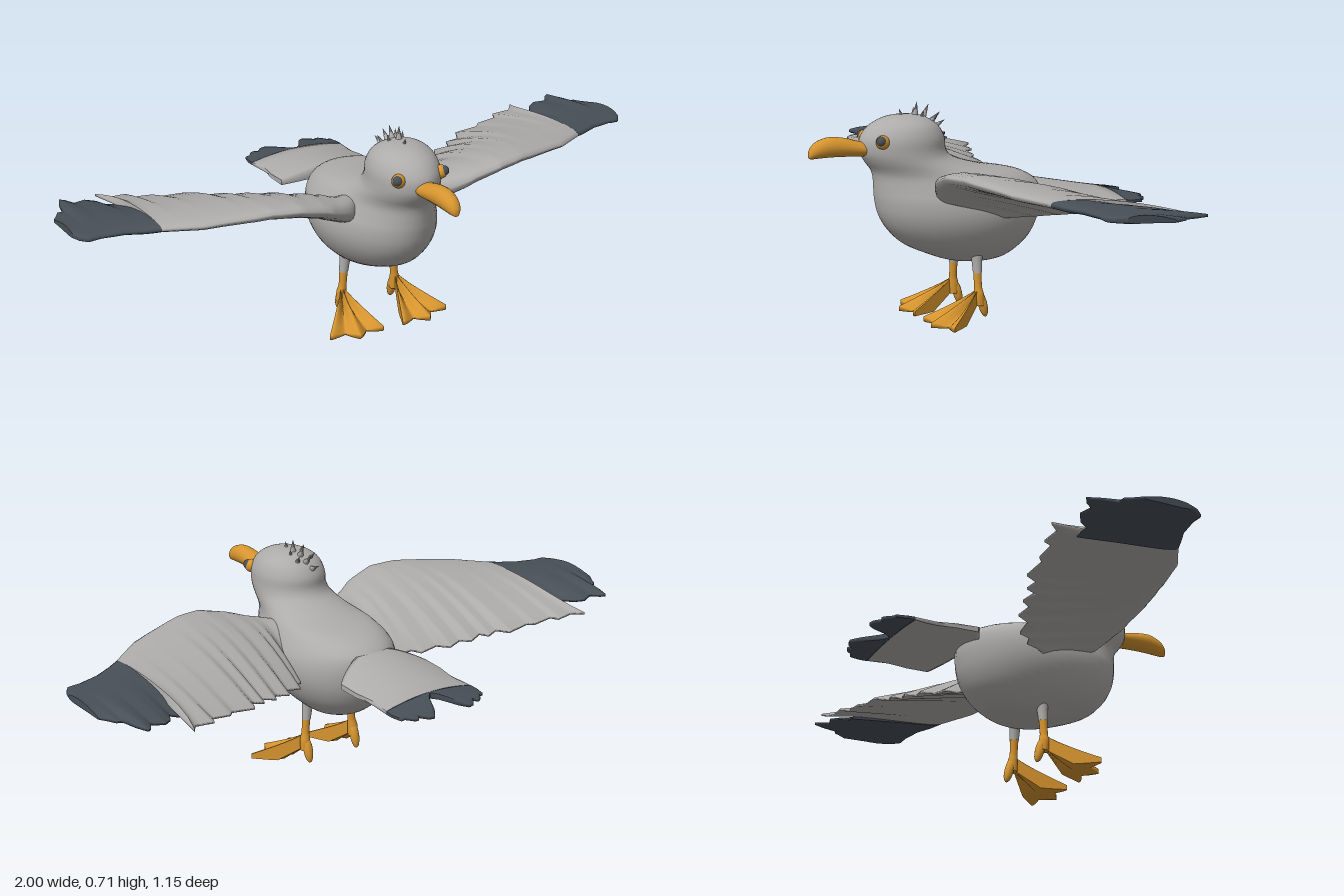
import * as THREE from 'three';

const mat = (name, color) => Object.assign(new THREE.MeshStandardMaterial({ color }), { name });
const lerp = THREE.MathUtils.lerp;

// Piecewise linear lookup in a list of [x, value]
function at(list, x) {
  if (x <= list[0][0]) return list[0][1];
  for (let i = 1; i < list.length; i++) {
    const [x0, v0] = list[i - 1], [x1, v1] = list[i];
    if (x <= x1) return lerp(v0, v1, (x - x0) / (x1 - x0));
  }
  return list[list.length - 1][1];
}

// Catmull-Rom subdivision of rows of numbers
function smoothRows(rows, steps) {
  const out = [], row = i => rows[Math.min(Math.max(i, 0), rows.length - 1)];
  for (let i = 0; i < rows.length - 1; i++) {
    for (let s = 0; s < steps; s++) {
      const t = s / steps;
      out.push(row(i).map((b, k) => {
        const a = row(i - 1)[k], c = row(i + 1)[k], d = row(i + 2)[k];
        return b + 0.5 * t * (c - a + t * (2 * a - 5 * b + 4 * c - d + t * (3 * (b - c) + d - a)));
      }));
    }
  }
  out.push(rows[rows.length - 1]);
  return out;
}

// Closed skin over rings of [x, y, z]; the winding is turned outward by signed volume
function loft(rings) {
  const n = rings[0].length, pos = rings.flat(2), idx = [];
  for (let i = 0; i < rings.length - 1; i++) {
    for (let j = 0; j < n; j++) {
      const a = i * n + j, b = i * n + (j + 1) % n;
      idx.push(a, b, a + n, b, b + n, a + n);
    }
  }
  [rings[0], rings[rings.length - 1]].forEach((ring, end) => {
    const base = pos.length / 3;
    const mid = [0, 1, 2].map(k => ring.reduce((s, p) => s + p[k], 0) / n);
    pos.push(...ring.flat(), ...mid);
    for (let j = 0; j < n; j++) {
      const a = base + j, b = base + (j + 1) % n;
      idx.push(base + n, ...(end ? [a, b] : [b, a]));
    }
  });
  const v = i => new THREE.Vector3().fromArray(pos, i * 3);
  let volume = 0;
  for (let i = 0; i < idx.length; i += 3) volume += v(idx[i]).dot(v(idx[i + 1]).cross(v(idx[i + 2])));
  if (volume < 0) idx.reverse();
  const geo = new THREE.BufferGeometry();
  geo.setAttribute('position', new THREE.Float32BufferAttribute(pos, 3));
  geo.setIndex(idx);
  geo.computeVertexNormals();
  return geo;
}

// Ring from a function of angle
const ring = (n, f) => Array.from({ length: n }, (_, j) => f(j / n * Math.PI * 2));

// Thin section: point(t) gives [x, y, z, halfThickness] from front edge to back edge
function section(n, point) {
  const top = [], bottom = [];
  for (let i = 0; i <= n; i++) {
    const [x, y, z, h] = point((i / n) ** 1.5);
    top.push([x, y + h, z]);
    bottom.unshift([x, Math.max(0, y - h), z]);
  }
  return [...top, ...bottom];
}

const range = (a, b, n) => Array.from({ length: n + 1 }, (_, i) => lerp(a, b, i / n));

// Wing plan and height, by distance from the centre line
const wingLead = [[.1, .17], [.16, .215], [.25, .255], [.35, .27], [.42, .26], [.5, .24], [.65, .19],
  [.76, .118], [.86, .07], [.93, .055], [.97, .055], [.99, .03], [1, 0]];
const wingTrail = [[.1, 0], [.18, -.01], [.2, -.05], [.21, -.09], [.24, -.1], [.25, -.14], [.31, -.145],
  [.33, -.19], [.38, -.18], [.4, -.215], [.45, -.2], [.46, -.235], [.5, -.225], [.52, -.27], [.6, -.265],
  [.62, -.285], [.69, -.285], [.7, -.315], [.74, -.31], [.76, -.345]];
const tipTrail = [[.76, -.24], [.8, -.23], [.82, -.265], [.85, -.285], [.89, -.27], [.91, -.3], [.925, -.31],
  [.94, -.27], [.95, -.215], [.97, -.21], [.98, -.19], [1, -.16]];
const wingLeadY = [[.1, .43], [.2, .465], [.27, .495], [.36, .52], [.45, .525], [.6, .512], [.8, .488], [1, .48]];
const wingTrailY = [[.1, .34], [.22, .355], [.3, .37], [.5, .405], [.75, .43], [.8, .445], [1, .465]];
const wingThick = [[.1, .045], [.3, .03], [.76, .014], [1, .008]];

function wing(side, from, to, steps, trail, overhang) {
  return loft(range(from, to, steps).map(x => section(12, t => {
    const h = at(wingThick, x);
    const shift = overhang * THREE.MathUtils.smoothstep(x, .7, .76) * t ** 6;
    return [side * (x + shift),
      lerp(at(wingLeadY, x), at(wingTrailY, x), t) + .6 * h * Math.sin(Math.PI * t),
      lerp(at(wingLead, x), at(trail, x), t),
      h * 2.6 * Math.sqrt(t) * (1 - t) + .004];
  })));
}

// Tail fan, arched across its width
const tailBack = [[0, -.47], [.02, -.49], [.05, -.55], [.07, -.575], [.09, -.57], [.11, -.545], [.12, -.56],
  [.135, -.553], [.15, -.53], [.165, -.53], [.172, -.495]];
function tail(front, back) {
  return loft(range(-.172, .172, 50).map(x => section(8, t => {
    const z = lerp(front(Math.abs(x)), back(Math.abs(x)), t);
    const k = (-z - .18) / .39, w = (x / .172) ** 2;
    const pinch = 1 - .06 * Math.sin(Math.PI * Math.min(1, Math.max(0, (-z - .33) / .14)));
    return [x * pinch, lerp(.425, .363, k) - lerp(.04, .006, k) * w, z, lerp(.02, .006, k) * (1 - .5 * w)];
  })));
}

// Webbed foot: three toes fanned out from the ankle
const toeReach = [[-1, .178], [-.8, .165], [-.5, .145], [-.2, .17], [0, .185], [.2, .168], [.5, .145], [.8, .165], [1, .182]];
function foot(side) {
  return loft(range(-1.08, 1.08, 36).map(u => section(8, t => {
    const angle = .17 + u * .5, r = lerp(.006, at(toeReach, u), t);
    const ridge = .5 + .5 * Math.cos(u * 2 * Math.PI);
    const bottom = Math.max(0, .055 * (1 - t / .5));
    const top = lerp(.095, .006, t ** .85) * lerp(.7, 1, ridge) + .008 * ridge + .002;
    const high = Math.max(top, bottom + .006);
    return [side * (.1 + r * Math.sin(angle)), (high + bottom) / 2, .035 + r * Math.cos(angle), (high - bottom) / 2];
  })));
}

// Upright limb through rows of [x, y, z, radius]
const limb = (side, rows) => loft(smoothRows(rows, 3).map(([x, y, z, r]) =>
  ring(14, a => [side * (x + r * Math.cos(a)), y, z + r * Math.sin(a)])));

export function createModel() {
  const model = new THREE.Group();
  model.name = 'bird';
  const grey = mat('grey plumage', 0xaeacaa);
  const dark = mat('dark feather', 0x474f57);
  const orange = mat('orange skin', 0xd6942e);
  const add = (name, geo, material) => {
    const mesh = new THREE.Mesh(geo, material);
    mesh.name = name;
    model.add(mesh);
    return mesh;
  };

  // Body, neck and head: rows of [y, back z, front z, half width]
  const bodyRows = [[.18, .015, .035, .01], [.187, -.06, .09, .06], [.205, -.115, .15, .095], [.25, -.17, .25, .142],
    [.3, -.2, .305, .172], [.35, -.214, .335, .186], [.4, -.218, .348, .184], [.44, -.205, .352, .168],
    [.475, -.14, .355, .148], [.5, -.01, .363, .13], [.53, .085, .385, .118], [.56, .115, .4, .113],
    [.6, .12, .4, .11], [.635, .14, .375, .096], [.657, .17, .34, .072], [.669, .2, .305, .042], [.673, .245, .265, .01]];
  add('body', loft(smoothRows(bodyRows, 4).map(([y, b, f, w]) => ring(40, a =>
    [w * Math.sin(a) * (1 - .1 * Math.cos(a)), y, (b + f) / 2 + (f - b) / 2 * Math.cos(a)]))), grey);

  // Beak: rows of [z, bottom y, top y, half width]
  const beakRows = [[.375, .546, .59, .036], [.41, .547, .597, .036], [.45, .549, .608, .034], [.5, .55, .615, .031],
    [.54, .549, .606, .026], [.562, .548, .592, .019], [.573, .55, .575, .01], [.575, .555, .565, .003]];
  add('beak', loft(smoothRows(beakRows, 3).map(([z, lo, hi, w]) => ring(20, a =>
    [w * Math.cos(a), (lo + hi) / 2 + (hi - lo) / 2 * Math.sin(a), z]))), orange);

  // Crest feathers on the back of the head
  const crestTips = [[0, .692, .268], [.01, .712, .21], [-.03, .69, .205], [.033, .686, .195], [0, .702, .165],
    [-.038, .672, .155], [.034, .675, .145], [0, .675, .125], [-.015, .645, .102]];
  const crestRoot = new THREE.Vector3(0, .58, .225), up = new THREE.Vector3(0, 1, 0);
  crestTips.forEach(tip => {
    const end = new THREE.Vector3(...tip), dir = end.clone().sub(crestRoot).normalize();
    const feather = add('crestFeather', new THREE.ConeGeometry(.02, .08, 8), grey);
    feather.quaternion.setFromUnitVectors(up, dir);
    feather.position.copy(end).addScaledVector(dir, -.04);
  });

  // Tail with dark end
  const tailSplit = x => Math.max(-.465, at(tailBack, x) + .002);
  add('tail', tail(x => -.18 - .06 * (x / .165) ** 2, tailSplit), grey);
  add('tailTip', tail(tailSplit, x => at(tailBack, x)), dark);

  for (const side of [1, -1]) {
    const label = side > 0 ? 'left' : 'right';
    add(label + 'Wing', wing(side, .1, .76, 66, wingTrail, .03), grey);
    add(label + 'WingTip', wing(side, .76, 1, 48, tipTrail, 0), dark);

    // Eye: orange ball with a dark pupil facing out and forward
    const eye = add(label + 'Eye', new THREE.SphereGeometry(.022, 20, 14), orange);
    eye.position.set(side * .075, .598, .355);
    const pupil = add(label + 'Pupil', new THREE.SphereGeometry(.0165, 18, 12), dark);
    pupil.position.set(side * .0825, .602, .362);

    // Leg and foot
    add(label + 'Thigh', limb(side, [[.083, .24, .035, .024], [.088, .2, .036, .018], [.093, .157, .036, .015]]), grey);
    add(label + 'Shank', limb(side, [[.093, .16, .036, .014], [.097, .11, .036, .013], [.1, .085, .034, .017], [.1, .05, .032, .017]]), orange);
    add(label + 'Foot', foot(side), orange);
    const heel = add(label + 'Heel', new THREE.SphereGeometry(1, 14, 10), orange);
    heel.scale.set(.016, .044, .015);
    heel.position.set(side * .098, .052, .02);
    heel.rotation.x = .25;
  }
  return model;
}
